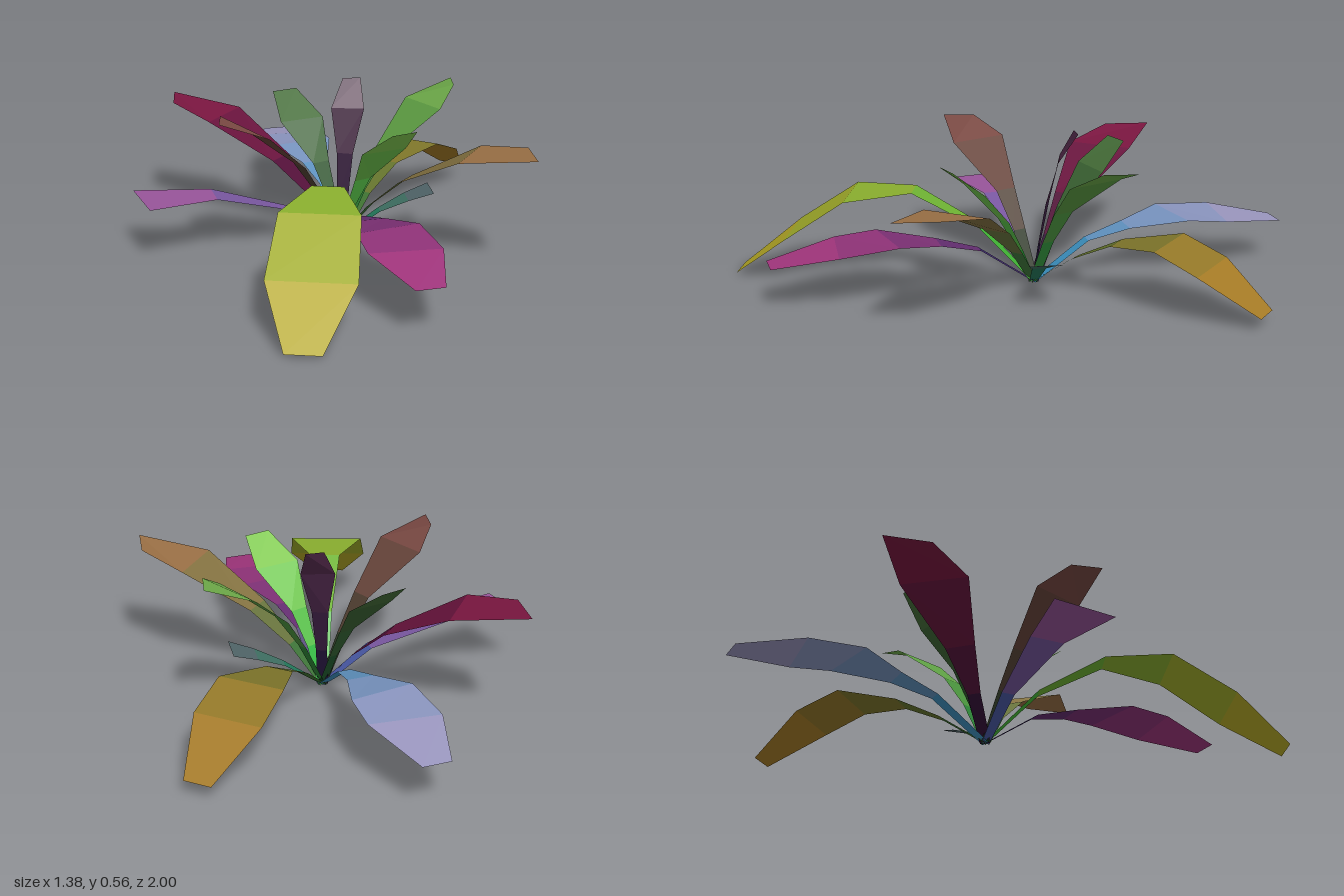
import * as THREE from 'three';

// Leaf shapes as cross-sections: [distance from crown, height, half width, yaw in degrees]
const SHAPES = {
  arching: [[0, 0, 0.02], [0.2, 0.14, 0.025], [0.35, 0.18, 0.05], [0.53, 0.21, 0.118, 9], [0.71, 0.195, 0.125, -6], [0.945, 0.155, 0.05]],
  drooping: [[0, 0, 0.02], [0.19, 0.2, 0.03], [0.43, 0.33, 0.055], [0.66, 0.312, 0.135], [0.88, 0.165, 0.148], [1.08, 0.01, 0.06]],
  bending: [[0, 0, 0.02], [0.17, 0.12, 0.025], [0.33, 0.2, 0.05], [0.53, 0.235, 0.12], [0.69, 0.175, 0.124], [0.89, 0.045, 0.05]],
  broad: [[0, 0, 0.02], [0.12, 0.14, 0.025], [0.26, 0.26, 0.055], [0.51, 0.39, 0.12, 6], [0.743, 0.425, 0.083, 35]],
  raised: [[0, 0, 0.02], [0.09, 0.17, 0.025], [0.18, 0.3, 0.04], [0.363, 0.45, 0.107], [0.5, 0.515, 0.056, -32]],
  inner: [[0, 0, 0.02], [0.06, 0.13, 0.02], [0.13, 0.25, 0.035], [0.254, 0.385, 0.087, -8], [0.37, 0.475, 0.05, -4]],
  upright: [[0, 0, 0.02], [0.02, 0.14, 0.02], [0.05, 0.3, 0.03], [0.09, 0.46, 0.06, 10], [0.15, 0.56, 0.033, 25]],
  flaring: [[0, 0, 0.015], [0.18, 0.12, 0.025], [0.47, 0.2, 0.063], [0.73, 0.2, 0.12, 6]],
  short: [[0, 0, 0.015], [0.14, 0.095, 0.025], [0.24, 0.14, 0.05], [0.33, 0.17, 0.066]],
};

// Each leaf: name, shape, compass angle from +z towards +x, stalk colour, tip colour
const LEAVES = [
  ['frontArchingLeaf', 'arching', 6, 0x1a2868, 0xa0357c],
  ['backArchingLeaf', 'arching', 186, 0x1c90c0, 0x9a96be],
  ['droopingLeaf', 'drooping', -17, 0x10b838, 0xb4a825],
  ['bendingLeaf', 'bending', 138.4, 0x107030, 0xa57a25],
  ['frontBroadLeaf', 'broad', 49, 0x0f7838, 0x9a7045],
  ['backBroadLeaf', 'broad', 229, 0x100a34, 0x7a1640],
  ['rightRaisedLeaf', 'raised', -67, 0x083820, 0x784842],
  ['leftRaisedLeaf', 'raised', 113, 0x0a7a30, 0x6ca848],
  ['frontInnerLeaf', 'inner', 24.6, 0x05b840, 0x80c850],
  ['backInnerLeaf', 'inner', 204.6, 0x054020, 0x456e38],
  ['uprightLeaf', 'upright', 155, 0x080a30, 0x502848],
  ['flaringLeaf', 'flaring', -85.3, 0x105aa8, 0x98559a],
  ['shortLeaf', 'short', 86.5, 0x08805a, 0x506468],
];

// The two edge points of one cross-section
function edgePoints([r, y, w, yaw = 0], angle) {
  const a = THREE.MathUtils.degToRad(angle);
  const e = THREE.MathUtils.degToRad(angle + yaw);
  const middle = new THREE.Vector3(r * Math.sin(a), y, r * Math.cos(a));
  const side = new THREE.Vector3(w * Math.cos(e), 0, -w * Math.sin(e));
  return [middle.clone().sub(side), middle.clone().add(side)];
}

// A leaf is a chain of flat strips, shaded from stalk colour to tip colour
function makeLeaf([name, shape, angle, stalk, tip]) {
  const leaf = new THREE.Group();
  leaf.name = name;
  const sections = SHAPES[shape];
  const count = sections.length - 1;
  for (let i = 0; i < count; i++) {
    const [a, b] = edgePoints(sections[i], angle);
    const [c, d] = edgePoints(sections[i + 1], angle);
    const geometry = new THREE.BufferGeometry().setFromPoints([a, c, b, b, c, d]);
    geometry.computeVertexNormals();
    const color = new THREE.Color(stalk).lerp(new THREE.Color(tip), (i + 0.5) / (count - 0.5));
    const strip = new THREE.Mesh(geometry, new THREE.MeshStandardMaterial({ color, side: THREE.DoubleSide }));
    strip.name = i < count / 2 - 0.5 ? 'leafStalk' : 'leafBlade';
    leaf.add(strip);
  }
  return leaf;
}

export function createModel() {
  const plant = new THREE.Group();
  plant.name = 'leafyPlant';
  // All leaves grow from one crown, slightly off centre
  const crown = new THREE.Group();
  crown.name = 'crown';
  crown.position.set(0.06, 0, -0.05);
  for (const leaf of LEAVES) crown.add(makeLeaf(leaf));
  plant.add(crown);
  return plant;
}
